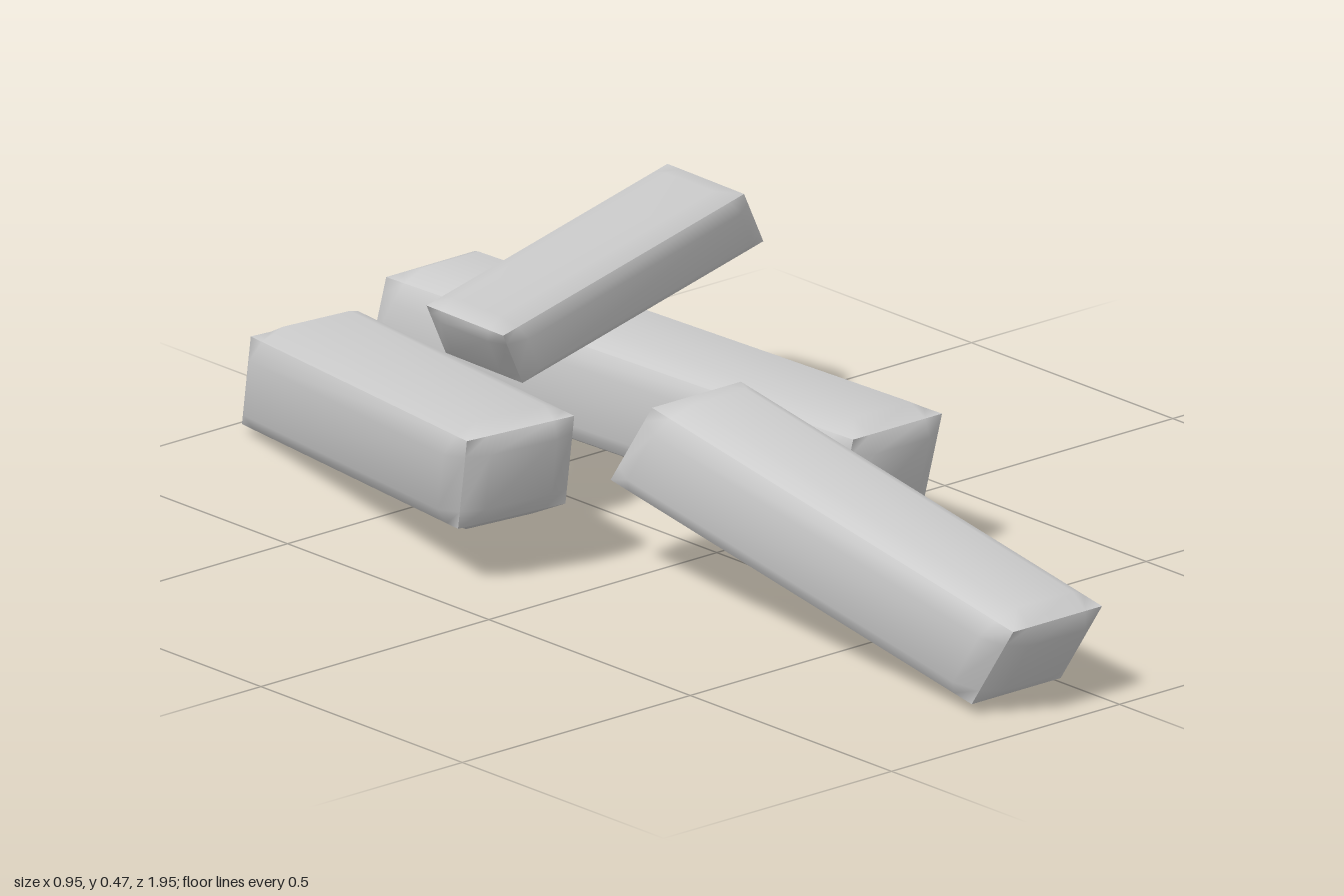
import * as THREE from 'three';

const material = new THREE.MeshStandardMaterial({ color: 0xcccccc });

// A long stick: a box with softly bulged faces, crisp edges and slanted ends.
// w, h, l are edge-to-edge sizes; bulge swells every face; shear slants the ends.
function stickGeometry(w, h, l, shear, bulge) {
  const geo = new THREE.BoxGeometry(2, 2, 2, 3, 3, 3);
  const half = [w / 2, h / 2, l / 2];
  const inset = [0.62, 0.62, 1 - 0.045 / (l / 2)]; // where the inner rings sit
  const pos = geo.attributes.position;
  for (let i = 0; i < pos.count; i++) {
    const p = [pos.getX(i), pos.getY(i), pos.getZ(i)];
    const outer = p.map((c) => Math.abs(c) > 0.99);
    const onFace = outer.filter(Boolean).length === 1;
    const q = p.map((c, k) => {
      const s = Math.sign(c);
      if (!outer[k]) return s * half[k] * inset[k];
      return s * (half[k] + (onFace ? bulge : 0));
    });
    pos.setXYZ(i, q[0], q[1], q[2] + q[1] * shear);
  }
  geo.computeVertexNormals();
  return geo;
}

// Each stick: size [w, h, l], end slant, bulge, centre, and yaw / pitch / roll
const sticks = [
  { name: 'frontStick', size: [0.195, 0.168, 0.91], shear: 0.45, bulge: 0.02,
    at: [-0.118, 0.177, 0.48], turn: [0, 0.17, 0] },
  { name: 'leftStick', size: [0.195, 0.168, 1.16], shear: 0.3, bulge: 0.02,
    at: [0.133, 0.177, -0.305], turn: [0, -0.02, 0] },
  { name: 'rightStick', size: [0.195, 0.168, 0.87], shear: 0.5, bulge: 0.02,
    at: [-0.24, 0.162, -0.495], turn: [-0.3, -0.11, 0.08] },
  { name: 'topStick', size: [0.15, 0.118, 0.75], shear: 0.75, bulge: 0.014,
    at: [0.055, 0.383, -0.365], turn: [-1.28, 0.03, -0.17] },
];

export function createModel() {
  const group = new THREE.Group();
  group.name = 'stickPile';
  for (const s of sticks) {
    const mesh = new THREE.Mesh(stickGeometry(...s.size, s.shear, s.bulge), material);
    mesh.name = s.name;
    mesh.position.set(...s.at);
    const [yaw, pitch, roll] = s.turn;
    mesh.rotation.set(pitch, yaw, roll, 'YXZ');
    group.add(mesh);
  }
  return group;
}
